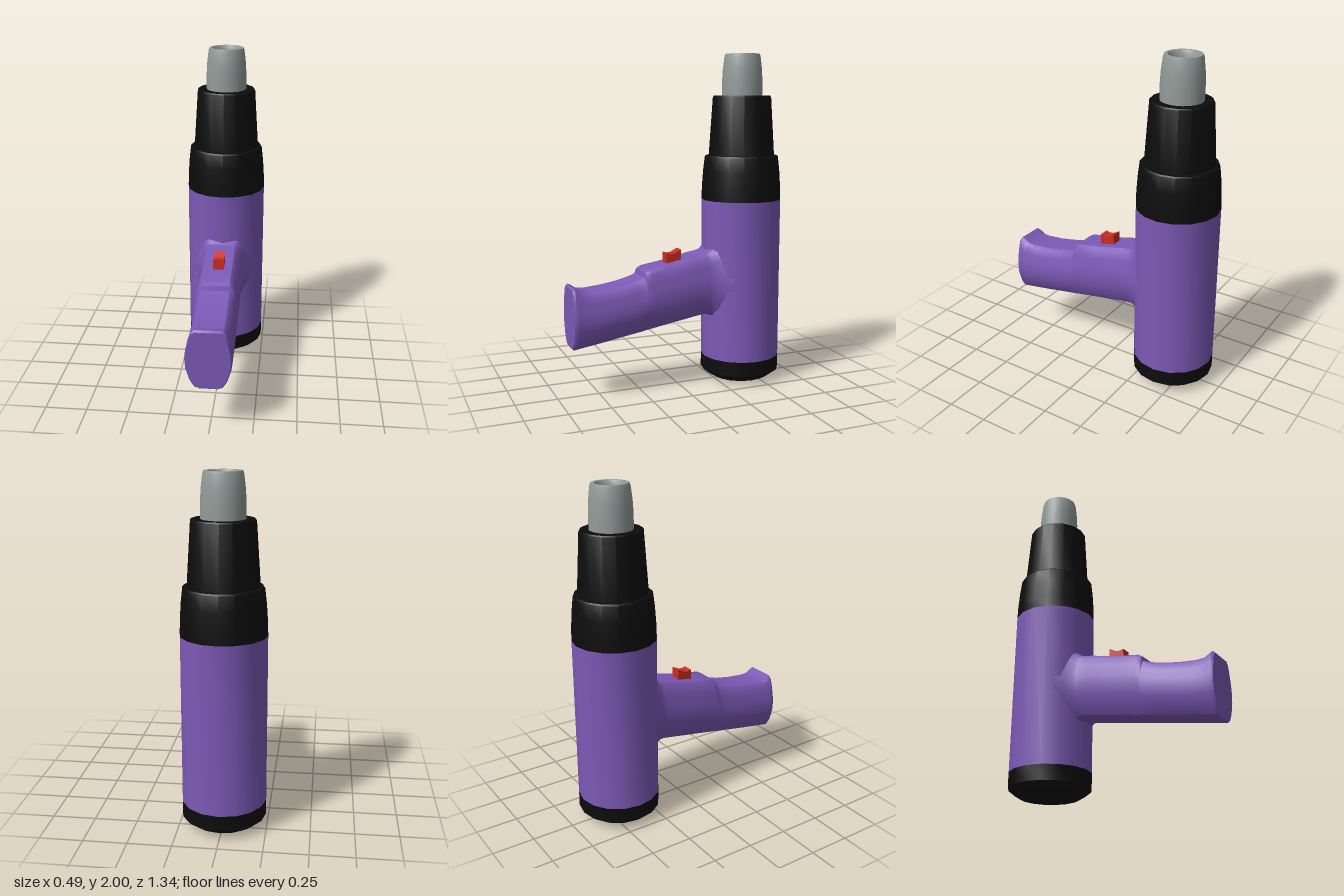
import * as THREE from 'three';
import { toCreasedNormals } from 'three/addons/utils/BufferGeometryUtils.js';

const SIDES = 16;
const AXIS_Z = -0.427;

function material(name, color) {
  const m = new THREE.MeshStandardMaterial({ color });
  m.name = name;
  return m;
}

// Turned part around the barrel axis; profile runs from bottom to top.
function turned(name, profile, mat, sides = SIDES) {
  const points = profile.map(([r, y]) => new THREE.Vector2(r, y));
  const mesh = new THREE.Mesh(toCreasedNormals(new THREE.LatheGeometry(points, sides), 0.55), mat);
  mesh.name = name;
  mesh.position.z = AXIS_Z;
  return mesh;
}

// Grip lofted from one cross-section, stretched between bottom and top at each station.
function gripGeometry() {
  // half width, height fraction
  const half = [[0.05, 0], [0.08, 0.03], [0.105, 0.14], [0.128, 0.34], [0.133, 0.5],
    [0.128, 0.64], [0.114, 0.82], [0.1, 0.95], [0.08, 1]];
  const ring = [...half, ...half.slice().reverse().map(([x, t]) => [-x, t])];
  // z, bottom, top, width factor
  const stations = [
    [0.672, 0.305, 0.655, 0.95], [0.66, 0.297, 0.665, 1], [0.645, 0.3, 0.658, 1],
    [0.612, 0.306, 0.637, 1], [0.56, 0.314, 0.633, 1], [0.46, 0.33, 0.642, 1],
    [0.36, 0.347, 0.659, 1], [0.28, 0.36, 0.679, 1], [0.24, 0.366, 0.695, 1],
    [0.232, 0.368, 0.725, 1], [0.205, 0.372, 0.74, 1], [0.1, 0.39, 0.757, 1],
    [0, 0.406, 0.775, 1], [-0.1, 0.423, 0.799, 1], [-0.155, 0.431, 0.808, 1],
    [-0.178, 0.43, 0.815, 1.02], [-0.205, 0.415, 0.84, 1.08],
    [-0.24, 0.405, 0.855, 1.25], [-0.29, 0.4, 0.86, 1.5],
  ];
  const n = ring.length;
  const pos = [];
  const index = [];
  for (const [z, y0, y1, w] of stations)
    for (const [x, t] of ring) pos.push(x * w, y0 + (y1 - y0) * t, z);
  for (let s = 0; s < stations.length - 1; s++)
    for (let i = 0; i < n; i++) {
      const j = (i + 1) % n;
      const a = s * n + i, a2 = s * n + j, b = a + n, b2 = a2 + n;
      index.push(a, b, a2, a2, b, b2);
    }
  // flat end of the grip
  const centre = pos.length / 3;
  pos.push(0, 0.48, 0.672);
  for (let i = 0; i < n; i++) index.push(centre, i, (i + 1) % n);
  const g = new THREE.BufferGeometry();
  g.setAttribute('position', new THREE.Float32BufferAttribute(pos, 3));
  g.setIndex(index);
  return toCreasedNormals(g, 0.6);
}

// Rocker switch: side profile extruded across the grip.
function switchGeometry() {
  const profile = [[-0.015, 0.74], [0.082, 0.74], [0.08, 0.822], [0.055, 0.815],
    [0.03, 0.818], [-0.012, 0.84]];
  const shape = new THREE.Shape(profile.map(([z, y]) => new THREE.Vector2(-z, y)));
  const g = new THREE.ExtrudeGeometry(shape, { depth: 0.064, bevelEnabled: false });
  g.translate(0, 0, -0.032);
  g.rotateY(Math.PI / 2);
  return g;
}

export function createModel() {
  const purple = material('purple housing', 0x7c59b6);
  const black = material('black plastic', 0x0c0c0c);
  const grey = material('grey metal', 0x929b99);
  const red = material('red switch', 0xcb2c22);

  const group = new THREE.Group();
  group.name = 'heatGun';

  group.add(turned('rearCap', [[0, 0], [0.13, 0.004], [0.175, 0.012], [0.205, 0.03],
    [0.243, 0.06], [0.243, 0.15]], black));
  group.add(turned('barrel', [[0.243, 0.15], [0.243, 1.125]], purple));
  group.add(turned('frontCollar', [[0.243, 1.125], [0.241, 1.2], [0.234, 1.3], [0.224, 1.385],
    [0.218, 1.393], [0.2, 1.395], [0.177, 1.745], [0.172, 1.752], [0.11, 1.752]], black));

  // Nozzle with a recessed mouth
  group.add(turned('nozzle', [[0.122, 1.74], [0.122, 1.84], [0.118, 1.91], [0.109, 1.985],
    [0.104, 2], [0.085, 2], [0.072, 1.975], [0.072, 1.94]], grey, 24));
  const mouth = new THREE.Mesh(new THREE.CircleGeometry(0.074, 24), black);
  mouth.name = 'nozzleMouth';
  mouth.rotation.x = -Math.PI / 2;
  mouth.position.set(0, 1.95, AXIS_Z);
  group.add(mouth);

  const grip = new THREE.Mesh(gripGeometry(), purple);
  grip.name = 'grip';
  group.add(grip);

  const rocker = new THREE.Mesh(switchGeometry(), red);
  rocker.name = 'powerSwitch';
  group.add(rocker);

  return group;
}
